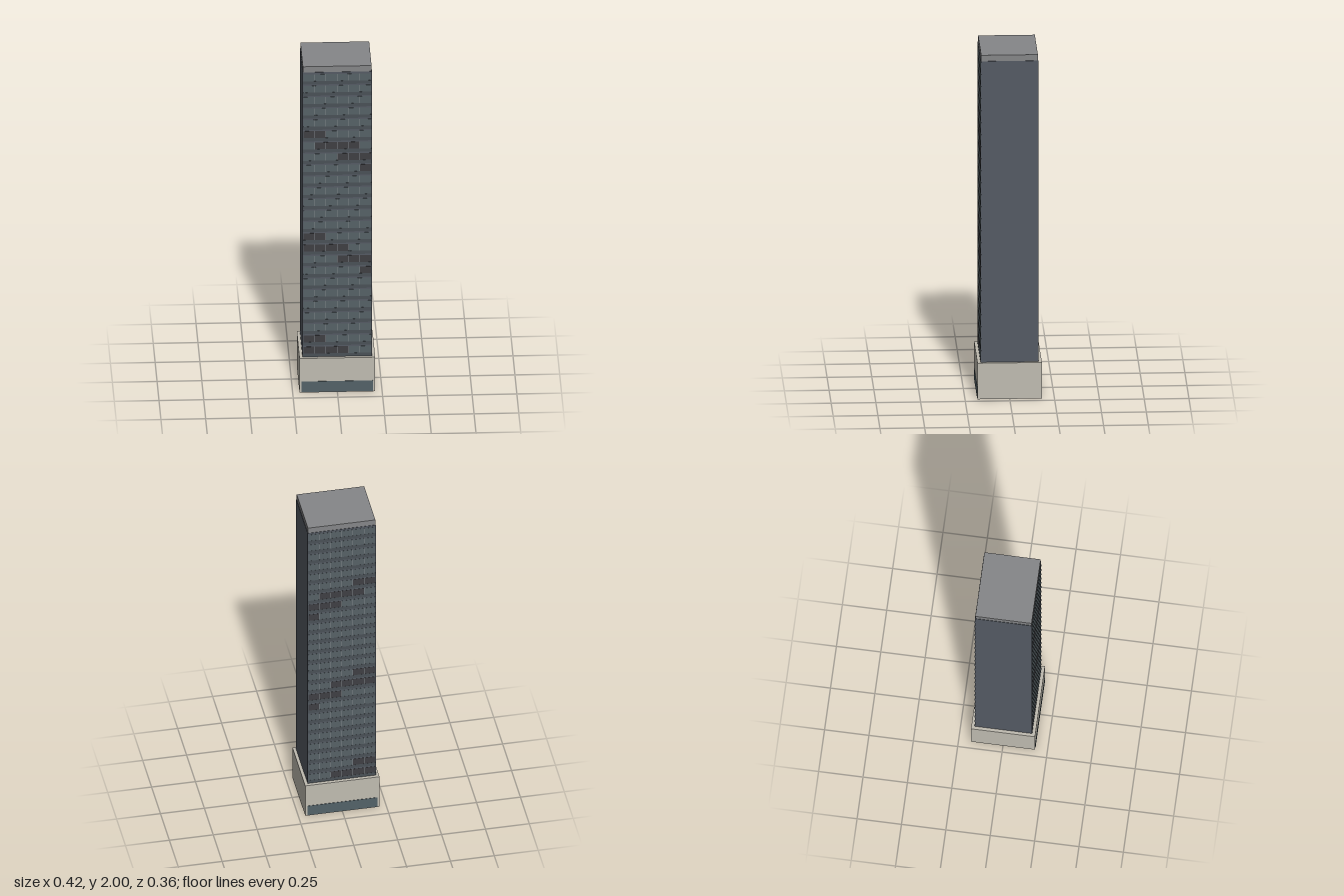
import * as THREE from 'three';
import { mergeGeometries } from 'three/addons/utils/BufferGeometryUtils.js';

const FLOORS = 25, COLS = 6, PITCH = 0.07, COL_W = 0.0635, FIRST = 0.25;

// Dark windows: floor -> [first column, last column]
const DARK = {
  0: [0, 3], 1: [0, 1],
  7: [5, 5], 8: [3, 5], 9: [0, 3], 10: [0, 1],
  16: [5, 5], 17: [3, 5], 18: [1, 4], 19: [0, 1],
};

function box(w, h, d, x, y, z) {
  return new THREE.BoxGeometry(w, h, d).translate(x, y, z);
}

function part(name, color, geometries) {
  const mesh = new THREE.Mesh(
    mergeGeometries(geometries),
    new THREE.MeshStandardMaterial({ color })
  );
  mesh.name = name;
  return mesh;
}

export function createModel() {
  const tower = new THREE.Group();
  tower.name = 'officeTower';

  // Solid masses: podium, shaft and roof cap
  tower.add(part('podium', 0xc0bcb1, [box(0.423, 0.21, 0.36, 0, 0.105, 0)]));
  tower.add(part('shaft', 0x555b64, [box(0.388, 1.755, 0.321, 0, 1.0875, 0)]));
  tower.add(part('roofCap', 0x858688, [box(0.384, 0.038, 0.317, 0, 1.981, 0)]));

  // Facade pieces, identical on front and back
  const storefront = [], panes = [], darkPanes = [], bands = [], mullions = [];
  for (const side of [1, -1]) {
    const z = side * 0.1605;
    storefront.push(box(0.4, 0.064, 0.004, 0, 0.036, side * 0.18));

    for (let f = 0; f < FLOORS; f++) {
      const y = FIRST + f * PITCH;
      bands.push(box(0.386, 0.02, 0.003, 0, y - PITCH / 2 + 0.006, z));

      for (let c = 0; c < COLS; c++) {
        const x = (c - (COLS - 1) / 2) * COL_W;
        const range = DARK[f];
        const dark = range && c >= range[0] && c <= range[1];
        (dark ? darkPanes : panes).push(box(COL_W - 0.003, 0.046, 0.002, x, y, z));
        if (c > 0) mullions.push(box(0.003, 0.046, 0.0014, x - COL_W / 2, y, z));
      }
    }
  }
  tower.add(part('storefrontGlass', 0x536268, storefront));
  tower.add(part('windowPanes', 0x566166, panes));
  tower.add(part('darkWindowPanes', 0x3f3f43, darkPanes));
  tower.add(part('floorBands', 0x4a5157, bands));
  tower.add(part('mullions', 0x81878b, mullions));

  return tower;
}
